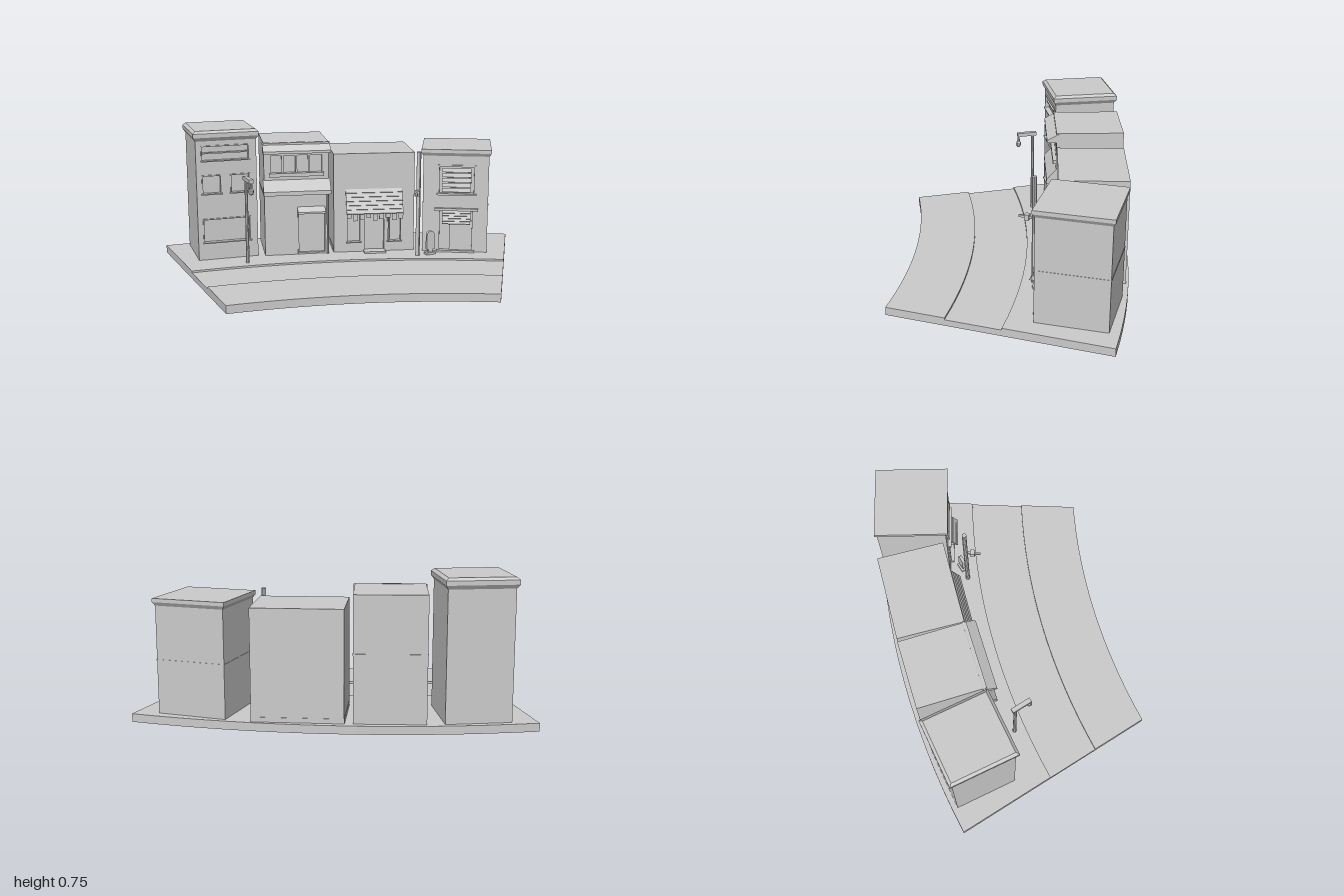
import * as THREE from 'three';

const mat = new THREE.MeshStandardMaterial({ color: 0xcccccc, flatShading: true });
const G = 0.042; // pavement level

function add(parent, name, geo, x = 0, y = 0, z = 0) {
  const m = new THREE.Mesh(geo, mat);
  m.name = name;
  m.position.set(x, y, z);
  parent.add(m);
  return m;
}

// Box given by its extents
function block(parent, name, x0, x1, y0, y1, z0, z1) {
  return add(parent, name, new THREE.BoxGeometry(x1 - x0, y1 - y0, z1 - z0),
    (x0 + x1) / 2, (y0 + y1) / 2, (z0 + z1) / 2);
}

// Box whose top face is grown or shrunk
function frustum(parent, name, w0, d0, w1, d1, y0, y1, zc) {
  const g = new THREE.BoxGeometry(w0, y1 - y0, d0), p = g.attributes.position;
  for (let i = 0; i < p.count; i++) {
    if (p.getY(i) > 0) { p.setX(i, p.getX(i) * w1 / w0); p.setZ(i, p.getZ(i) * d1 / d0); }
  }
  g.computeVertexNormals();
  return add(parent, name, g, 0, (y0 + y1) / 2, zc);
}

// Side profile of [z, y] points swept along x
function sweepX(parent, name, pts, x0, x1) {
  const s = new THREE.Shape(pts.map(([z, y]) => new THREE.Vector2(-z, y)));
  const g = new THREE.ExtrudeGeometry(s, { depth: x1 - x0, bevelEnabled: false });
  g.rotateY(Math.PI / 2); // shape x -> -z, depth -> +x
  return add(parent, name, g, x0, 0, 0);
}

// Solid body with a front wall pierced by openings [x0, x1, y0, y1]
function building(root, name, x, z, turn, w, d, top, holes) {
  const b = new THREE.Group();
  b.name = name;
  b.position.set(x, 0, z);
  b.rotation.y = turn;
  root.add(b);
  const t = 0.018;
  const rect = (T, x0, x1, y0, y1) => {
    const s = new T();
    s.moveTo(x0, y0); s.lineTo(x1, y0); s.lineTo(x1, y1); s.lineTo(x0, y1); s.closePath();
    return s;
  };
  const wall = rect(THREE.Shape, -w / 2, w / 2, G, top);
  holes.forEach(h => wall.holes.push(rect(THREE.Path, ...h)));
  add(b, 'frontWall', new THREE.ExtrudeGeometry(wall, { depth: t, bevelEnabled: false }), 0, 0, -t);
  block(b, 'body', -w / 2, w / 2, G, top, -d, -t);
  return b;
}

// Raised border around an opening, with an optional sill
function frame(b, x0, x1, y0, y1, sill = true, t = 0.008) {
  block(b, 'frameLeft', x0 - t, x0, y0, y1, -0.015, 0.005);
  block(b, 'frameRight', x1, x1 + t, y0, y1, -0.015, 0.005);
  block(b, 'frameTop', x0 - t, x1 + t, y1, y1 + t, -0.015, 0.007);
  if (sill) block(b, 'sill', x0 - t * 1.5, x1 + t * 1.5, y0 - t, y0, -0.015, 0.011);
}

// Awning made of overlapping tilted slats
function slatAwning(b, x0, x1, yTop, yBottom, reach, n) {
  for (let i = 0; i < n; i++) {
    const f = (i + 0.5) / n;
    const s = add(b, 'awningSlat', new THREE.BoxGeometry(x1 - x0, (yTop - yBottom) / n * 1.05, 0.008),
      (x0 + x1) / 2, yTop + (yBottom - yTop) * f, reach * f);
    s.rotation.x = -0.6;
  }
  for (const x of [x0 + 0.004, x1 - 0.012]) {
    sweepX(b, 'awningBracket', [[0, yTop - 0.01], [reach * 0.9, yBottom], [0, yBottom]], x, x + 0.008);
  }
}

function makeBase(root) {
  const sideX = z => 1 - 0.335 * (z + 0.49) / 1.09;
  // Each edge is a shallow arc: z at the middle, z at the ends
  const edges = [[-0.61, -0.49], [-0.07, 0.03], [0.22, 0.305], [0.53, 0.6]];
  const arc = ([mid, end]) => Array.from({ length: 17 }, (_, i) => {
    const u = i / 8 - 1;
    return new THREE.Vector2(u * sideX(end), -(mid + (end - mid) * u * u));
  });
  [['backPavement', G], ['road', 0.032], ['frontPavement', G]].forEach(([name, h], i) => {
    const s = new THREE.Shape([...arc(edges[i]), ...arc(edges[i + 1]).reverse()]);
    const g = new THREE.ExtrudeGeometry(s, { depth: h, bevelEnabled: false });
    g.rotateX(-Math.PI / 2);
    add(root, name, g);
  });
}

// Tall corner block with a chamfered cornice
function makeTallHouse(root) {
  const w = 0.328, d = 0.335;
  const holes = [[-0.13, 0.12, 0.59, 0.665], [-0.13, -0.035, 0.41, 0.505], [0.025, 0.12, 0.41, 0.505],
    [-0.13, 0.12, 0.14, 0.265]];
  const b = building(root, 'tallHouse', -0.645, -0.19, 0.186, w, d, 0.705, holes);
  holes.forEach(h => frame(b, ...h, true, 0.006));
  block(b, 'windowBar', -0.13, 0.12, 0.625, 0.632, -0.018, -0.004);
  const W = w + 0.026, D = d + 0.026;
  frustum(b, 'corniceFlare', w, d, W, D, 0.695, 0.715, -d / 2);
  frustum(b, 'corniceBand', W, D, W, D, 0.715, 0.737, -d / 2);
  frustum(b, 'corniceCap', W, D, W - 0.03, D - 0.03, 0.737, 0.75, -d / 2);
}

// Shop with a sloping eave, a balcony window row and a lower canopy
function makeEaveShop(root) {
  const w = 0.355;
  const holes = [[-0.14, 0.14, 0.5, 0.6], [0.01, 0.155, G + 0.008, 0.285]];
  const b = building(root, 'eaveShop', -0.268, -0.215, 0.04, w, 0.355, 0.67, holes);
  const lean = (name, yTop, yLip, yBottom, back) => sweepX(b, name,
    [[back, yBottom], [0.05, yBottom], [0.05, yLip], [back, yTop]], -0.184, 0.184);
  lean('roofEave', 0.671, 0.632, 0.618, -0.02);
  lean('lowerCanopy', 0.472, 0.41, 0.388, -0.005);
  block(b, 'windowSill', -0.15, 0.15, 0.485, 0.505, -0.015, 0.016);
  for (const x of [-0.075, 0, 0.07]) block(b, 'windowPost', x - 0.005, x + 0.005, 0.5, 0.6, -0.018, -0.003);
  frame(b, 0.01, 0.155, G, 0.285, false, 0.006);
  sweepX(b, 'doorCanopy', [[0, 0.285], [0.045, 0.28], [0.045, 0.29], [0, 0.312]], 0.002, 0.155);
  add(b, 'drainpipe', new THREE.CylinderGeometry(0.006, 0.006, 0.35, 8), 0.17, 0.217, 0.008);
  block(b, 'floorBand', -w / 2 - 0.002, w / 2 + 0.002, 0.378, 0.386, -0.357, 0.002);
}

// Wide shop with a slatted awning and hanging strips
function makeWideShop(root) {
  const windows = [[-0.15, -0.08, 0.1, 0.27], [0.08, 0.15, 0.1, 0.27]];
  const b = building(root, 'wideShop', 0.163, -0.227, 0, 0.452, 0.35, 0.6,
    [...windows, [-0.054, 0.056, G + 0.008, 0.27]]);
  windows.forEach(h => frame(b, ...h, true, 0.006));
  frame(b, -0.054, 0.056, G, 0.27, false, 0.006);
  slatAwning(b, -0.16, 0.156, 0.4, 0.27, 0.055, 6);
  for (let i = 0; i < 9; i++) {
    const x = -0.145 + i * 0.036, drop = 0.024 + 0.016 * ((i * 2) % 3) / 2;
    block(b, 'hangingStrip', x - 0.013, x + 0.013, 0.27 - drop, 0.275, 0.046, 0.05);
  }
  block(b, 'doorStep', -0.06, 0.062, G, 0.052, 0, 0.05);
  block(b, 'post', 0.078, 0.085, 0.1, 0.25, 0.03, 0.037);
  block(b, 'plinth', -0.228, 0.228, G, 0.066, -0.352, -0.02);
}

// Corner shop with shutters, door awning and cornice
function makeCornerShop(root) {
  const w = 0.36, d = 0.36;
  const b = building(root, 'cornerShop', 0.608, -0.16, -0.24, w, d, 0.6,
    [[-0.09, 0.1, 0.375, 0.525], [-0.085, 0.095, G + 0.008, 0.28]]);
  frame(b, -0.09, 0.1, 0.375, 0.525, true, 0.01);
  for (let i = 0; i < 5; i++) {
    const s = block(b, 'shutterSlat', -0.075, 0.085, 0.382 + i * 0.028, 0.404 + i * 0.028, -0.004, 0.002);
    s.rotation.x = -0.35;
  }
  frame(b, -0.085, 0.095, G, 0.28, false, 0.012);
  block(b, 'doorHeader', -0.115, 0.125, 0.278, 0.292, -0.01, 0.016);
  block(b, 'doorPanel', -0.03, 0.095, G, 0.22, -0.018, -0.006);
  slatAwning(b, -0.07, 0.085, 0.275, 0.21, 0.045, 5);
  block(b, 'doorStep', -0.1, 0.11, G, 0.052, 0, 0.02);
  block(b, 'floorBand', -w / 2 - 0.002, w / 2 + 0.002, 0.31, 0.317, -d - 0.002, -0.01);
  const W = w + 0.022, D = d + 0.022;
  frustum(b, 'corniceFlare', w, d, W, D, 0.585, 0.603, -d / 2);
  frustum(b, 'corniceBand', W, D, W, D, 0.603, 0.622, -d / 2);
}

function makeStreetFurniture(root) {
  // Lamp with a bracket arm and a hanging lantern
  const lamp = new THREE.Group();
  lamp.name = 'streetLamp';
  lamp.position.set(-0.545, 0, -0.09);
  lamp.rotation.y = 0.3;
  root.add(lamp);
  add(lamp, 'lampPole', new THREE.CylinderGeometry(0.008, 0.01, 0.47, 8), 0, 0.277, 0);
  block(lamp, 'lampArm', -0.012, 0.012, 0.495, 0.515, -0.02, 0.09);
  const lantern = [[0, 0.43], [0.01, 0.434], [0.014, 0.442], [0.014, 0.458], [0.008, 0.466], [0.006, 0.497]];
  add(lamp, 'lantern', new THREE.LatheGeometry(lantern.map(p => new THREE.Vector2(...p)), 8), 0, 0, 0.084);

  // Utility pole with a small side box
  const pole = new THREE.Group();
  pole.name = 'utilityPole';
  pole.position.set(0.39, 0, -0.113);
  pole.rotation.y = -0.35;
  root.add(pole);
  add(pole, 'pole', new THREE.CylinderGeometry(0.012, 0.012, 0.58, 10), 0, 0.332, 0);
  block(pole, 'poleArm', -0.006, 0.006, 0.395, 0.407, 0, 0.08);
  block(pole, 'poleBox', -0.014, 0.014, 0.386, 0.416, 0.025, 0.05);

  // Rounded pavement sign on a foot
  const sign = new THREE.Group();
  sign.name = 'pavementSign';
  sign.position.set(0.463, 0, -0.128);
  sign.rotation.y = 0.3;
  root.add(sign);
  const s = new THREE.Shape();
  s.moveTo(-0.023, 0.07);
  s.lineTo(0.023, 0.07);
  s.lineTo(0.023, 0.152);
  s.absarc(0, 0.152, 0.023, 0, Math.PI, false);
  add(sign, 'signBoard', new THREE.ExtrudeGeometry(s, { depth: 0.016, bevelEnabled: false, curveSegments: 8 }), 0, 0, -0.008);
  block(sign, 'signStem', -0.012, 0.012, 0.05, 0.07, -0.006, 0.006);
  block(sign, 'signFoot', -0.028, 0.028, G, 0.054, -0.016, 0.016);
}

export function createModel() {
  const root = new THREE.Group();
  root.name = 'curvedStreet';
  makeBase(root);
  makeTallHouse(root);
  makeEaveShop(root);
  makeWideShop(root);
  makeCornerShop(root);
  makeStreetFurniture(root);
  return root;
}
